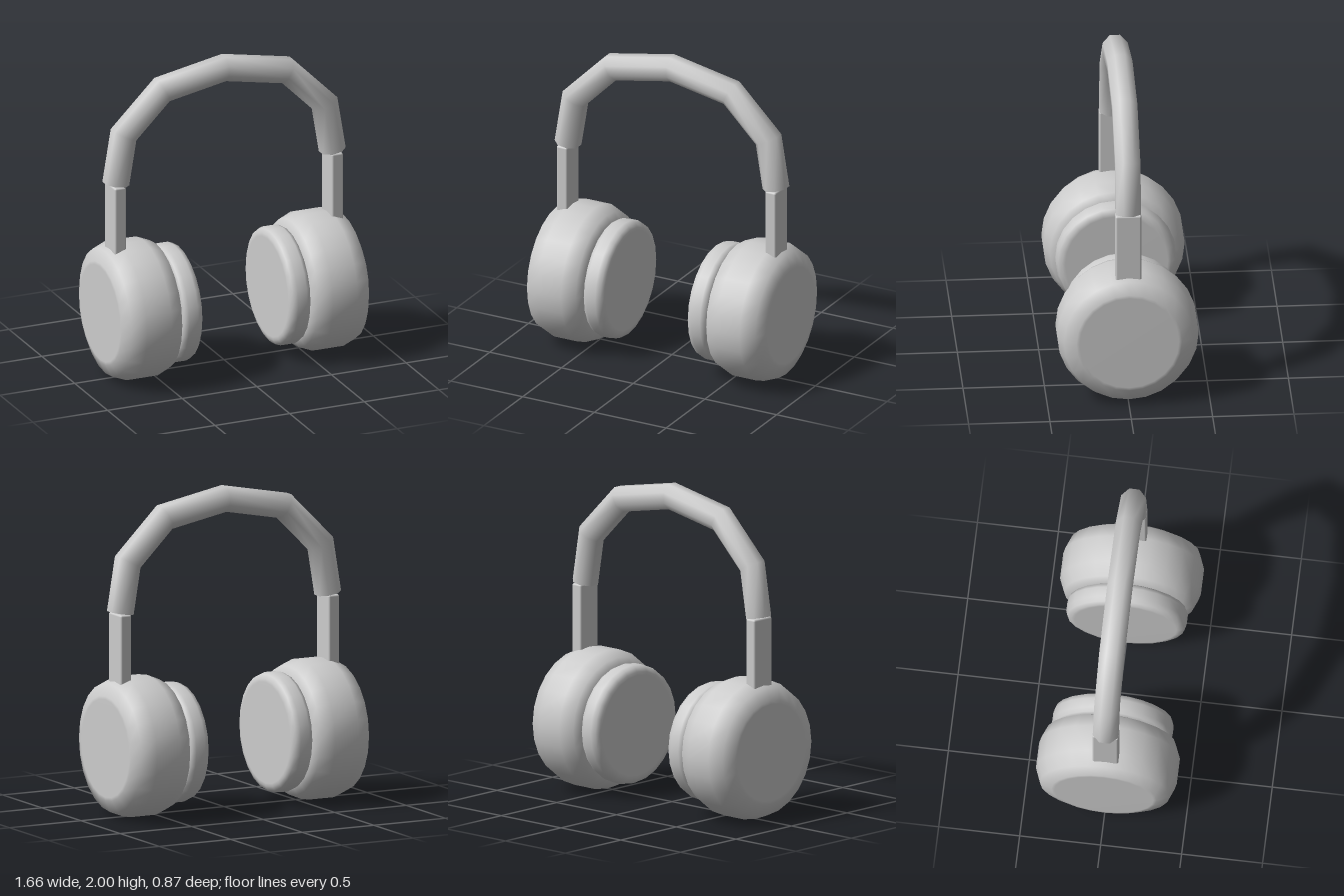
import * as THREE from 'three';
import { RoundedBoxGeometry } from 'three/addons/geometries/RoundedBoxGeometry.js';

const CUP_Y = 0.436;

// Turned part whose axis lies along x; profile is [x, radius] from inner to outer
function turned(profile) {
  const pts = profile.map(([x, r]) => new THREE.Vector2(r, x));
  const geo = new THREE.LatheGeometry(pts, 24);
  geo.rotateZ(-Math.PI / 2);
  geo.translate(0, CUP_Y, 0);
  return geo;
}

// Mitred octagonal bar swept along a faceted arch in the xy plane
function archBar(path, radius) {
  const N = 8, pos = [], idx = [];
  const last = path.length - 1;
  path.forEach((p, i) => {
    const before = i > 0 ? p.clone().sub(path[i - 1]).normalize() : null;
    const after = i < last ? path[i + 1].clone().sub(p).normalize() : null;
    const t = new THREE.Vector2();
    if (before) t.add(before);
    if (after) t.add(after);
    t.normalize();
    const miter = 1 / t.dot(before || after);
    for (let j = 0; j < N; j++) {
      const a = ((j + 0.5) / N) * Math.PI * 2;
      const r = Math.cos(a) * radius * miter;
      pos.push(p.x + t.y * r, p.y - t.x * r, Math.sin(a) * radius);
    }
  });
  for (let i = 0; i < last; i++) {
    for (let j = 0; j < N; j++) {
      const a = i * N + j, b = i * N + ((j + 1) % N);
      idx.push(a, a + N, b, b, a + N, b + N);
    }
  }
  // End caps use their own vertices so the rims stay sharp
  for (const ring of [0, last]) {
    const base = pos.length / 3;
    pos.push(...pos.slice(ring * N * 3, (ring + 1) * N * 3));
    for (let j = 1; j < N - 1; j++) {
      if (ring === 0) idx.push(base, base + j, base + j + 1);
      else idx.push(base, base + j + 1, base + j);
    }
  }
  const geo = new THREE.BufferGeometry();
  geo.setAttribute('position', new THREE.Float32BufferAttribute(pos, 3));
  geo.setIndex(idx);
  geo.computeVertexNormals();
  return geo;
}

export function createModel() {
  const grey = new THREE.MeshStandardMaterial({ color: 0xcccccc });
  grey.name = 'light grey';
  const model = new THREE.Group();
  model.name = 'headphones';

  const add = (parent, name, geo) => {
    const mesh = new THREE.Mesh(geo, grey);
    mesh.name = name;
    parent.add(mesh);
  };

  // Headband
  const half = [[0.725, 1.272], [0.673, 1.585], [0.415, 1.842]];
  const path = [...half, [0, 1.922], ...half.map(([x, y]) => [-x, y]).reverse()]
    .map(([x, y]) => new THREE.Vector2(x, y));
  add(model, 'headband', archBar(path, 0.0835));

  // Ear cup shell, cushion and slider stem
  const cup = turned([
    [0.43, 0], [0.43, 0.325], [0.432, 0.345], [0.455, 0.4], [0.54, 0.435],
    [0.705, 0.435], [0.795, 0.4], [0.828, 0.325], [0.83, 0.305], [0.83, 0],
  ]);
  const cushion = turned([
    [0.29, 0], [0.29, 0.315], [0.292, 0.335], [0.305, 0.361], [0.335, 0.372],
    [0.395, 0.372], [0.42, 0.361], [0.432, 0.335], [0.435, 0],
  ]);
  const stem = new RoundedBoxGeometry(0.076, 0.47, 0.16, 2, 0.012);
  stem.translate(0.727, 1.035, 0);

  for (const side of ['left', 'right']) {
    const ear = new THREE.Group();
    ear.name = side + 'Earpiece';
    add(ear, side + 'EarCup', cup);
    add(ear, side + 'Cushion', cushion);
    add(ear, side + 'Stem', stem);
    if (side === 'right') ear.rotation.y = Math.PI;
    model.add(ear);
  }
  return model;
}
